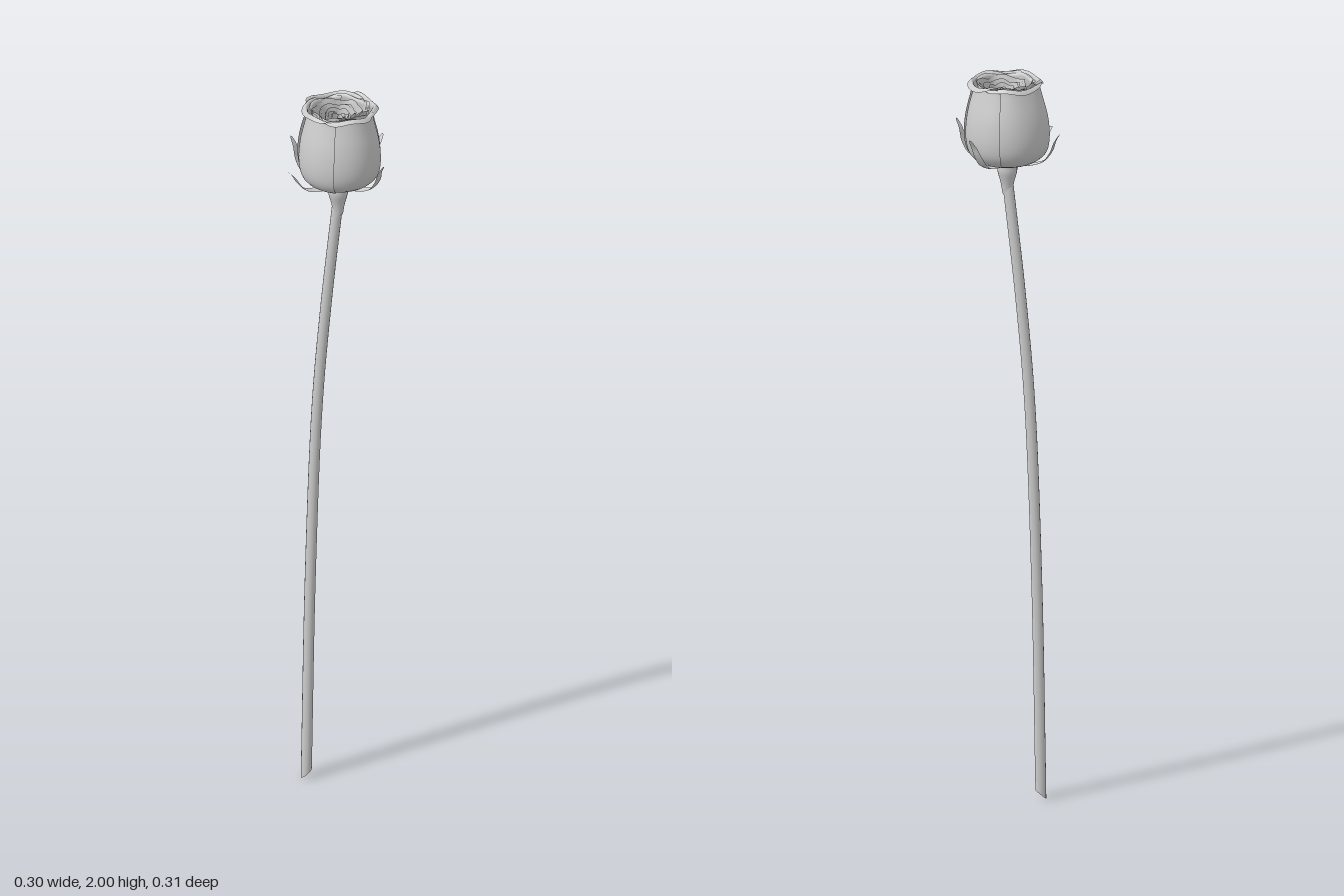
import * as THREE from 'three';

const material = new THREE.MeshStandardMaterial({ color: 0xcccccc, side: THREE.DoubleSide });
const deg = Math.PI / 180;

function addMesh(parent, name, geometry) {
  const mesh = new THREE.Mesh(geometry, material);
  mesh.name = name;
  parent.add(mesh);
  return mesh;
}

// Smooth curve through [radius, height] pairs
const profile = (pts) => new THREE.SplineCurve(pts.map(([r, y]) => new THREE.Vector2(r, y)));

// Grid whose vertices are placed by rule(u in -1..1, v in 0..1)
function sheet(nu, nv, rule) {
  const geo = new THREE.PlaneGeometry(2, 1, nu, nv);
  const pos = geo.attributes.position;
  for (let i = 0; i < pos.count; i++) {
    pos.setXYZ(i, ...rule(pos.getX(i), pos.getY(i) + 0.5));
  }
  geo.computeVertexNormals();
  return geo;
}

// Petal wrapped around the bud: one edge tucks in, corners are rounded off
function petal(curve, { angle, half, scale = 1, tuck = 0.05, drop = 0.2, wave = 0.02, lift = 0 }) {
  return sheet(28, 24, (u, v) => {
    const p = curve.getPoint(v * (1 - drop * Math.pow(Math.abs(u), 4)));
    const a = (angle + u * half) * deg;
    const ripple = 1 + wave * v * v * Math.sin(u * 7 + angle);
    const r = p.x * scale * (1 + tuck * u) * ripple;
    const y = p.y + lift * v + 0.004 * v * v * Math.cos(u * 6 + angle);
    return [r * Math.sin(a), y, r * Math.cos(a) + 0.004 * v];
  });
}

export function createModel() {
  const rose = new THREE.Group();
  rose.name = 'rose';

  // Gently bowed stem with a slanted cut at the foot
  const foot = new THREE.Vector3(-0.034, 0.014, -0.086);
  const path = new THREE.CatmullRomCurve3([
    foot,
    new THREE.Vector3(-0.028, 0.6, -0.077),
    new THREE.Vector3(-0.02, 1.1, -0.06),
    new THREE.Vector3(-0.012, 1.4, -0.036),
    new THREE.Vector3(-0.004, 1.72, 0)
  ]);
  const slant = (geo) => {
    const pos = geo.attributes.position;
    for (let i = 0; i < pos.count; i++) {
      if (pos.getY(i) < 0.03) {
        pos.setY(i, foot.y + 0.6 * (pos.getX(i) - foot.x + pos.getZ(i) - foot.z));
      }
    }
    geo.computeVertexNormals();
    return geo;
  };
  addMesh(rose, 'stem', slant(new THREE.TubeGeometry(path, 40, 0.0145, 14)));
  const cut = new THREE.CircleGeometry(0.0145, 14).rotateX(Math.PI / 2);
  addMesh(rose, 'stemCut', slant(cut.translate(foot.x, foot.y, foot.z)));

  // Swollen receptacle under the bud
  const hip = profile([[0.013, 1.68], [0.018, 1.71], [0.026, 1.74], [0.027, 1.76], [0.035, 1.772]]);
  addMesh(rose, 'receptacle', new THREE.LatheGeometry(hip.getPoints(16), 20)).position.x = -0.004;

  // Four broad outer petals with rims rolled outward
  const bud = new THREE.Group();
  bud.name = 'bud';
  rose.add(bud);
  const outer = profile([
    [0.012, 1.768], [0.06, 1.77], [0.095, 1.795], [0.106, 1.84], [0.102, 1.9],
    [0.088, 1.96], [0.083, 1.985], [0.09, 1.994], [0.099, 1.984]
  ]);
  [
    { angle: -122, half: 66, scale: 1.03, drop: 0.25 },
    { angle: 140, half: 64, scale: 1.05, drop: 0.2 },
    { angle: 52, half: 62, scale: 1.03, drop: 0.25 },
    { angle: -32, half: 62, scale: 1.0, drop: 0.22 }
  ].forEach((o) => addMesh(bud, 'outerPetal', petal(outer, o)));

  // Second layer closes the gaps behind the outer rims
  const middle = profile([
    [0.012, 1.78], [0.07, 1.79], [0.096, 1.84], [0.094, 1.9],
    [0.08, 1.96], [0.076, 1.985], [0.082, 1.992]
  ]);
  for (let i = 0; i < 4; i++) {
    addMesh(bud, 'middlePetal', petal(middle, {
      angle: 15 + i * 90, half: 66, scale: 0.96, tuck: 0.05, drop: 0.1, wave: 0.03
    }));
  }

  // Inner petals spiral into the heart
  const inner = profile([[0.3, 1.84], [0.95, 1.87], [1.04, 1.91], [0.95, 1.955], [1.0, 1.978]]);
  const count = 17;
  for (let i = 0; i < count; i++) {
    const t = i / (count - 1);
    addMesh(bud, 'innerPetal', petal(inner, {
      angle: 40 + i * 137.5, half: 62 + 45 * t, scale: 0.073 - 0.062 * t,
      tuck: 0.1, drop: 0.12, wave: 0.06, lift: 0.012 - 0.026 * t
    }));
  }

  // Four pointed sepals sweeping out and up
  const sepalPath = profile([
    [0.015, 1.764], [0.065, 1.765], [0.105, 1.78], [0.128, 1.81], [0.14, 1.84], [0.156, 1.866]
  ]);
  [[86, 0], [4, 0], [-106, -0.03], [-170, 0]].forEach(([angle, lower]) => {
    const geo = sheet(6, 20, (u, v) => {
      const p = sepalPath.getPoint(v);
      const width = 0.02 * Math.pow(1 - v, 0.6) * (0.75 + 0.6 * v);
      const bend = 0.008 * Math.sin(v * 5) * v;
      return [u * width + bend, p.y + lower * v * v + 0.004 * u * u * (1 - v), p.x];
    });
    addMesh(rose, 'sepal', geo).rotation.y = angle * deg;
  });

  return rose;
}
